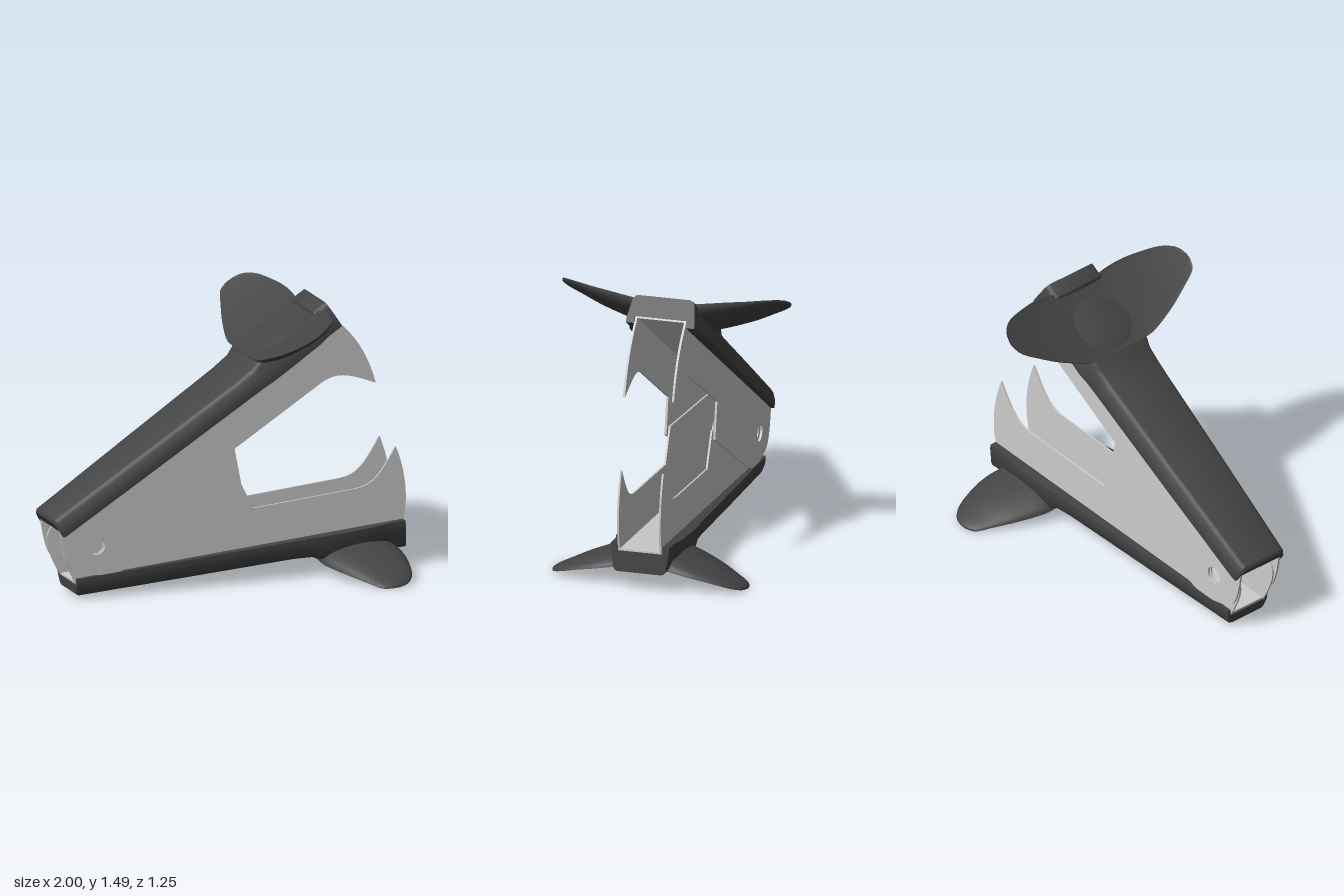
import * as THREE from 'three';
import { toCreasedNormals } from 'three/addons/utils/BufferGeometryUtils.js';

const metal = new THREE.MeshStandardMaterial({ color: 0xcccccc });
const plastic = new THREE.MeshStandardMaterial({ color: 0x444444 });

// Skin a row of closed rings and cap both ends; flat() projects a ring for capping
function loft(rings, flat, crease) {
  const n = rings[0].length, index = [];
  for (let i = 0; i < rings.length - 1; i++) {
    for (let j = 0; j < n; j++) {
      const a = i * n + j, b = i * n + (j + 1) % n;
      index.push(a, b, b + n, a, b + n, a + n);
    }
  }
  const last = (rings.length - 1) * n;
  for (const [a, b, c] of THREE.ShapeUtils.triangulateShape(rings[0].map(flat), [])) index.push(c, b, a);
  for (const [a, b, c] of THREE.ShapeUtils.triangulateShape(rings[rings.length - 1].map(flat), [])) {
    index.push(last + a, last + b, last + c);
  }
  const g = new THREE.BufferGeometry();
  g.setAttribute('position', new THREE.Float32BufferAttribute(rings.flat(2), 3));
  g.setIndex(index);
  return toCreasedNormals(g, crease);
}

function named(geometry, material, name) {
  const mesh = new THREE.Mesh(geometry, material);
  mesh.name = name;
  return mesh;
}

// Side plate with rounded pivot end, notch, fang and pivot hole
function plateGeometry() {
  const s = new THREE.Shape();
  s.moveTo(-0.12, 0.2);
  s.lineTo(-0.135, 0.17);
  s.bezierCurveTo(-0.19, 0.04, -0.2, -0.02, -0.151, -0.069);
  s.bezierCurveTo(-0.09, -0.14, 0.0, -0.212, 0.13, -0.216);
  s.lineTo(0.825, -0.232);
  s.lineTo(0.9, -0.042);
  s.lineTo(1.466, -0.046);
  s.bezierCurveTo(1.58, -0.047, 1.62, -0.09, 1.724, -0.238);
  s.bezierCurveTo(1.768, -0.1, 1.775, 0.04, 1.738, 0.16);
  s.lineTo(1.73, 0.2);
  const hole = new THREE.Path();
  hole.absarc(0, 0, 0.048, 0, Math.PI * 2, true);
  s.holes.push(hole);
  return new THREE.ExtrudeGeometry(s, { depth: 0.012, bevelEnabled: false, curveSegments: 20 });
}

// Channel-shaped plastic grip: [along, outer height, half width]
function coverGeometry() {
  const sections = [
    [-0.125, 0.25, 0.16], [-0.11, 0.262, 0.166], [0.5, 0.265, 0.187], [1.1, 0.268, 0.204],
    [1.2, 0.275, 0.208], [1.26, 0.298, 0.216], [1.4, 0.3, 0.214], [1.58, 0.295, 0.205],
    [1.63, 0.29, 0.19], [1.65, 0.313, 0.187], [1.733, 0.314, 0.187],
  ];
  const rings = sections.map(([u, top, w]) => {
    const half = [
      [top, w - 0.045], [top - 0.006, w - 0.03], [top - 0.022, w - 0.018], [0.205, w - 0.003],
      [0.19, w], [0.162, w], [0.162, 0.143], [0.2, 0.143],
    ];
    const other = half.map(([v, z]) => [v, -z]).reverse();
    return [...half, ...other].map(([v, z]) => [u, v, z]);
  });
  return loft(rings, p => new THREE.Vector2(p[1], p[2]), 0.6);
}

// Finger paddle: dished outside, bulging inside, curling outward to both tips
function paddleGeometry() {
  const stations = [ // z, start, end, outer height, inner height
    [0, 1.245, 1.66, 0.302, 0.22], [0.14, 1.245, 1.67, 0.307, 0.225], [0.22, 1.25, 1.68, 0.316, 0.243],
    [0.32, 1.285, 1.68, 0.332, 0.27], [0.42, 1.33, 1.665, 0.35, 0.302], [0.52, 1.385, 1.64, 0.373, 0.342],
    [0.58, 1.42, 1.605, 0.389, 0.366], [0.61, 1.45, 1.57, 0.397, 0.381], [0.625, 1.495, 1.525, 0.4, 0.392],
  ];
  const all = [...stations.slice(1).reverse().map(([z, ...r]) => [-z, ...r]), ...stations];
  const plan = new THREE.CatmullRomCurve3(all.map(s => new THREE.Vector3(s[0], s[1], s[2])), false, 'catmullrom');
  const lift = new THREE.CatmullRomCurve3(all.map(s => new THREE.Vector3(s[0], s[3], s[4])), false, 'catmullrom');
  const rings = [], steps = 64, n = 28;
  for (let i = 0; i <= steps; i++) {
    const p = plan.getPoint(i / steps), q = lift.getPoint(i / steps);
    const mid = (p.y + p.z) / 2, half = (p.z - p.y) / 2, thick = q.y - q.z;
    const ring = [];
    for (let j = 0; j < n; j++) {
      const a = j / n * Math.PI * 2, s = Math.sin(a);
      const v = s > 0 ? q.y - 0.12 * thick * s : q.y + thick * s;
      ring.push([mid + half * Math.cos(a), v, p.x]);
    }
    rings.push(ring);
  }
  return loft(rings, p => new THREE.Vector2(p[0], p[1]), 0.9);
}

// One jaw lying along +x, pivot at the origin, grip towards +y
function makeArm(name) {
  const arm = new THREE.Group();
  arm.name = name;
  const plate = plateGeometry();
  for (const [side, z] of [['left', 0.128], ['right', -0.14]]) {
    const mesh = named(plate, metal, side === 'left' ? 'frontJawPlate' : 'backJawPlate');
    mesh.position.z = z;
    arm.add(mesh);
  }
  const web = named(new THREE.BoxGeometry(1.85, 0.012, 0.28), metal, 'jawWeb');
  web.position.set(0.807, 0.196, 0);
  arm.add(web);
  arm.add(named(coverGeometry(), plastic, 'gripCover'));
  arm.add(named(paddleGeometry(), plastic, 'fingerPaddle'));
  return arm;
}

export function createModel() {
  const model = new THREE.Group();
  model.name = 'stapleRemover';
  const deg = Math.PI / 180;

  const upper = makeArm('upperArm');
  upper.position.set(-0.76, 0.287, 0);
  upper.rotation.z = 32.65 * deg;

  // Lower jaw: turned over and narrower so that it nests inside the upper
  const lower = makeArm('lowerArm');
  lower.position.set(-0.76, 0.287, 0);
  lower.rotation.set(Math.PI, 0, 4.35 * deg, 'ZYX');
  lower.scale.z = 0.855;

  model.add(upper, lower);
  return model;
}
